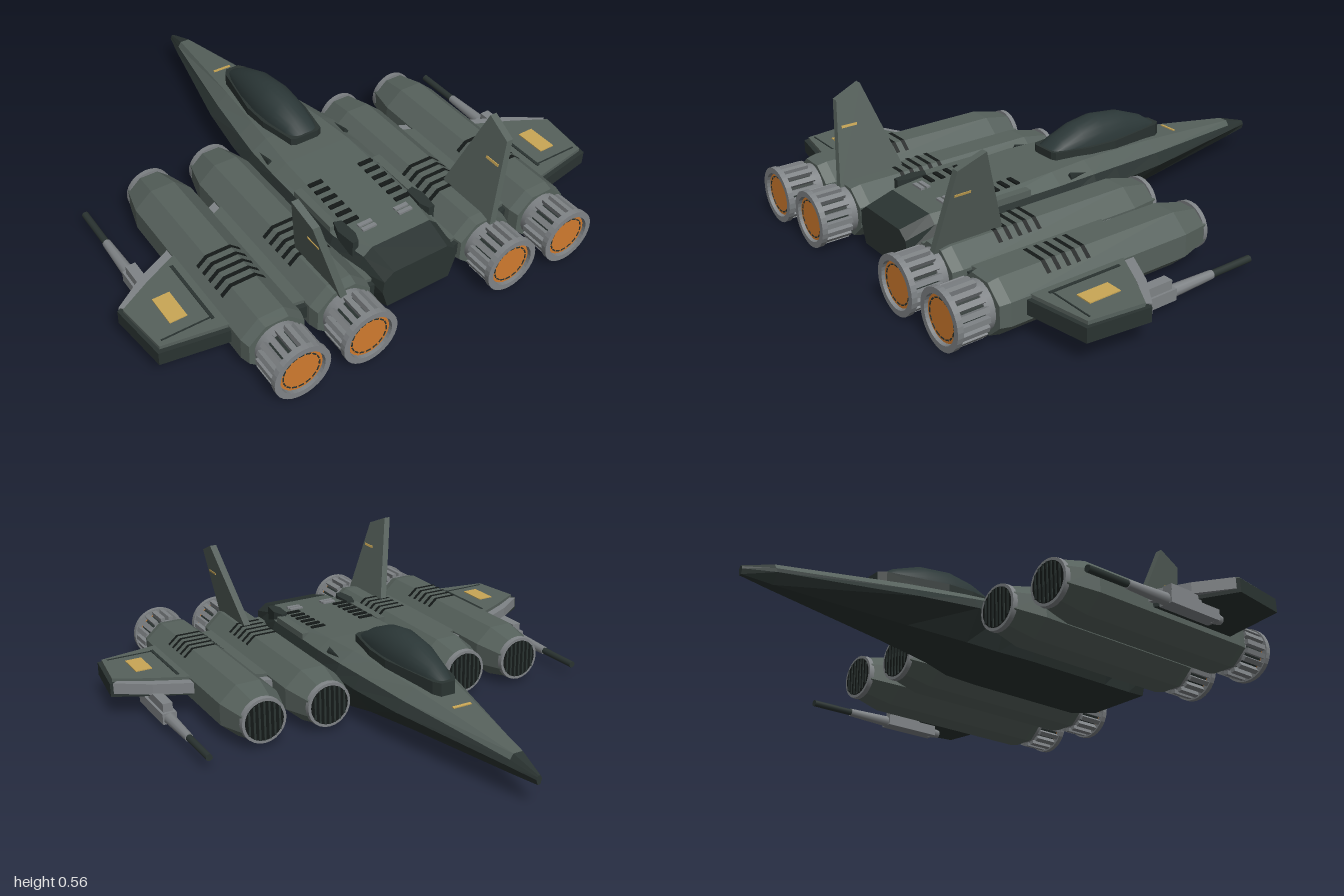
import * as THREE from 'three';

const mat = (name, color) => Object.assign(new THREE.MeshStandardMaterial({ color }), { name });

export function createModel() {
  const M = {
    hull: mat('hullGreen', 0x56615c),
    dark: mat('darkHull', 0x2a3331),
    black: mat('ventBlack', 0x141918),
    glass: mat('canopyGlass', 0x2b3737),
    grey: mat('metalGrey', 0x7f8386),
    orange: mat('exhaustOrange', 0xd07a2e),
    gold: mat('markingGold', 0xc9a655),
  };
  const root = new THREE.Group();
  root.name = 'starfighter';

  const add = (parent, name, geo, m, x = 0, y = 0, z = 0) => {
    const mesh = new THREE.Mesh(geo, m);
    mesh.name = name;
    mesh.position.set(x, y, z);
    parent.add(mesh);
    return mesh;
  };
  const flat = (geo) => {
    const g = geo.index ? geo.toNonIndexed() : geo;
    g.computeVertexNormals();
    return g;
  };
  const box = (parent, name, m, w, h, d, x, y, z) =>
    add(parent, name, new THREE.BoxGeometry(w, h, d), m, x, y, z);
  // cylinder along z; r0 is the radius at the rear (+z) end
  const tube = (parent, name, m, r0, r1, len, x, y, z, sides = 24, open = false) =>
    add(parent, name, new THREE.CylinderGeometry(r0, r1, len, sides, 1, open).rotateX(Math.PI / 2), m, x, y, z);
  // skin over cross-sections {z, pts}, ordered front to rear, points clockwise seen from the rear
  const loft = (sections, closed = false, smooth = false) => {
    const n = sections[0].pts.length, pos = [], idx = [];
    sections.forEach((s) => s.pts.forEach(([x, y]) => pos.push(x, y, s.z)));
    for (let i = 0; i < sections.length - 1; i++)
      for (let j = 0; j < (closed ? n : n - 1); j++) {
        const k = (j + 1) % n, a = i * n + j, b = i * n + k, c = b + n, d = a + n;
        idx.push(a, d, c, a, c, b);
      }
    const g = new THREE.BufferGeometry();
    g.setAttribute('position', new THREE.Float32BufferAttribute(pos, 3));
    g.setIndex(idx);
    if (smooth) { g.computeVertexNormals(); return g; }
    return flat(g);
  };
  // horizontal plate from an (x, z) outline
  const plate = (pts, y0, y1) => {
    const shape = new THREE.Shape(pts.map(([x, z]) => new THREE.Vector2(x, -z)));
    return new THREE.ExtrudeGeometry(shape, { depth: y1 - y0, bevelEnabled: false })
      .rotateX(-Math.PI / 2).translate(0, y0, 0);
  };

  // Fuselage stations: z, deck edge, shoulder, flank, keel edge
  const st = [
    [-1, .004, .125, .008, .12, .012, .11, .006, .09],
    [-.88, .02, .16, .034, .14, .046, .12, .02, .08],
    [-.35, .085, .222, .135, .18, .168, .14, .09, .05],
    [-.1, .115, .243, .175, .2, .207, .15, .13, .035],
    [.03, .13, .25, .195, .21, .22, .16, .16, .02],
    [.2, .145, .25, .2, .21, .22, .15, .17, .02],
    [.6, .15, .235, .2, .21, .22, .15, .17, .02],
    [.74, .13, .23, .165, .2, .19, .15, .17, .02],
    [.86, .12, .2, .16, .17, .165, .12, .14, .04],
  ];
  const upper = ([z, a, b, c, d]) => ({ z, pts: [[-c, d], [-a, b], [a, b], [c, d]] });
  const lower = ([z, , , c, d, e, f, g, h]) =>
    ({ z, pts: [[c, d], [e, f], [g, h], [-g, h], [-e, f], [-c, d]] });
  const full = (s) => ({ z: s[0], pts: [...upper(s).pts, ...lower(s).pts.slice(1, 5)] });
  const point = (z, y, n) => ({ z, pts: Array.from({ length: n }, () => [0, y]) });
  add(root, 'upperHull', loft(st.slice(1, 8).map(upper)), M.hull);
  add(root, 'lowerHull', loft(st.slice(1, 8).map(lower)), M.dark);
  add(root, 'noseTip', loft([point(-1, .11, 8), ...st.slice(0, 2).map(full)], true), M.dark);
  add(root, 'tailBlock', loft([...st.slice(7).map(full), point(.86, .12, 8)], true), M.dark);
  const stripe = box(root, 'noseStripe', M.gold, .08, .004, .012, 0, .2035, -.54);
  stripe.rotation.x = -.12;

  // Canopy frame and glass
  const frameHalf = [[.03, -.45], [.05, -.42], [.1, -.16], [.1, -.04], [.07, .12], [.05, .13]];
  const frame = [...frameHalf, ...frameHalf.map(([x, z]) => [-x, z]).reverse()];
  const frameGeo = plate(frame, -.045, .012);
  const fp = frameGeo.attributes.position;
  for (let i = 0; i < fp.count; i++) fp.setY(i, fp.getY(i) + .265 + .03 * fp.getZ(i));
  add(root, 'canopyFrame', flat(frameGeo), M.dark);
  const glass = [[-.44, .028, .005], [-.37, .053, .05], [-.25, .078, .093], [-.12, .09, .104],
    [-.02, .085, .085], [.07, .07, .045], [.12, .055, .01]];
  const dome = glass.map(([z, w, h]) => ({
    z,
    pts: Array.from({ length: 13 }, (_, k) => {
      const t = Math.PI * (1 - k / 12);
      return [w * Math.cos(t), .268 + .03 * z + h * Math.sin(t)];
    }),
  }));
  add(root, 'canopyGlass', loft(dome, false, true), M.glass);

  // Engine: nacelle, intake, top vents and nozzle
  const makeEngine = (x) => {
    const g = new THREE.Group();
    g.name = 'engine';
    g.position.set(x, .112, 0);
    root.add(g);
    const profile = [[.095, -.1], [.13, .03], [.13, .8], [.12, .84], [0, .84]]
      .map(([r, z]) => new THREE.Vector2(r, z));
    const body = new THREE.LatheGeometry(profile, 8, Math.PI / 8).rotateX(Math.PI / 2).scale(1, .89, 1);
    add(g, 'nacelle', flat(body), M.hull);
    tube(g, 'intakeRing', M.grey, .094, .092, .02, 0, 0, -.098);
    tube(g, 'intakeMouth', M.black, .08, .08, .006, 0, 0, -.107);
    for (let i = -3; i <= 3; i++)
      box(g, 'intakeSlat', M.dark, .008, 2 * Math.sqrt(.0062 - (i * .021) ** 2), .008, i * .021, 0, -.109);
    const ventPts = [[-.088, .078], [-.05, .111], [.05, .111], [.088, .078]];
    for (let i = 0; i < 5; i++) {
      const z = .445 + i * .042;
      add(g, 'nacelleVent', loft([{ z, pts: ventPts }, { z: z + .017, pts: ventPts }]), M.black);
    }
    tube(g, 'nozzleCollar', M.grey, .09, .09, .045, 0, 0, .855);
    tube(g, 'nozzleCore', M.dark, .084, .084, .12, 0, 0, .92);
    for (let i = 0; i < 18; i++) {
      const a = (i / 18) * Math.PI * 2;
      const slat = box(g, 'nozzleSlat', M.grey, .02, .022, .11, Math.cos(a) * .095, Math.sin(a) * .095, .925);
      slat.rotation.z = a + Math.PI / 2;
    }
    const rim = new THREE.Shape().absarc(0, 0, .112, 0, Math.PI * 2);
    rim.holes.push(new THREE.Path().absarc(0, 0, .089, 0, Math.PI * 2, true));
    add(g, 'nozzleRim', new THREE.ExtrudeGeometry(rim, { depth: .022, bevelEnabled: false, curveSegments: 16 }),
      M.grey, 0, 0, .978);
    tube(g, 'exhaustGlow', M.orange, .085, .085, .008, 0, 0, .984);
    for (let i = 0; i < 16; i++) {
      const a = (i / 16) * Math.PI * 2;
      const dash = box(g, 'exhaustMark', M.dark, .02, .005, .004, Math.cos(a) * .072, Math.sin(a) * .072, .988);
      dash.rotation.z = a + Math.PI / 2;
    }
  };
  [-.595, -.318, .318, .595].forEach(makeEngine);

  // Fin: upright plate leaning outward
  const finPlate = (pts, t, s) => {
    const shape = new THREE.Shape(pts.map(([z, y]) => new THREE.Vector2(z, y)));
    const g = new THREE.ExtrudeGeometry(shape, { depth: t, bevelEnabled: false })
      .translate(0, 0, -t / 2).rotateY(-Math.PI / 2);
    const p = g.attributes.position;
    for (let i = 0; i < p.count; i++) p.setX(i, p.getX(i) + s * (.335 + (p.getY(i) - .2) * .262));
    return flat(g);
  };

  for (const s of [1, -1]) {
    const side = new THREE.Group();
    side.name = s > 0 ? 'leftSide' : 'rightSide';
    root.add(side);
    const mx = (pts) => pts.map(([x, z]) => [s * x, z]);

    // Wing: dark core, lighter deck, metal leading edge, marking
    add(side, 'wingCore', plate(mx([[.18, .04], [.86, .375], [1, .45], [.97, .695], [.18, .83]]), .09, .146), M.dark);
    add(side, 'wingDeck', plate(mx([[.18, .07], [.85, .39], [.985, .465], [.957, .68], [.18, .81]]), .14, .16), M.hull);
    add(side, 'wingLeadingEdge', plate(mx([[.2, .03], [.86, .35], [.99, .44], [.97, .455], [.86, .39], [.2, .07]]),
      .105, .15), M.grey);
    box(side, 'wingMarking', M.gold, .068, .006, .13, s * .846, .161, .545);
    box(side, 'wingSeam', M.dark, .012, .004, .3, s * .745, .161, .52);
    box(side, 'flapSeam', M.dark, .2, .004, .005, s * .84, .161, .66);

    // Fin with a marking on both faces
    add(side, 'fin', finPlate([[.57, .19], [.695, .565], [.805, .52], [.86, .19]], .028, s), M.hull);
    add(side, 'finMarking', finPlate([[.74, .416], [.74, .425], [.805, .425], [.805, .416]], .034, s), M.gold);

    // Gun below the wing
    const gx = s * .845;
    box(side, 'gunMount', M.grey, .04, .06, .16, gx, .08, .315);
    box(side, 'gunBody', M.grey, .058, .045, .26, gx, .052, .35);
    tube(side, 'gunRear', M.grey, .018, .024, .05, gx, .05, .49, 10);
    tube(side, 'gunSleeve', M.grey, .024, .017, .2, gx, .05, .125, 10);
    tube(side, 'gunBarrel', M.dark, .014, .014, .2, gx, .05, -.065, 10);

    // Deck vents, fairings and small fittings
    for (let i = 0; i < 6; i++) {
      const z = .36 + i * .046;
      box(side, 'deckVent', M.black, .062, .012, .018, s * .116, .25 - (z - .2) * .0375, z);
    }
    box(side, 'sideFairing', M.hull, .035, .06, .24, s * .183, .205, .46);
    add(side, 'rearFairing', plate(mx([[.15, .58], [.18, .57], [.195, .62], [.185, .7], [.16, .7], [.145, .66]]),
      .18, .245), M.dark);
    for (const z of [.63, .655]) box(side, 'deckHatch', M.grey, .06, .012, .016, s * .082, .235, z);
    const blade = add(side, 'antenna', new THREE.ConeGeometry(.02, .08, 4).rotateX(-Math.PI / 2), M.dark, s * .18, .222, .1);
    blade.scale.x = .7;
  }
  return root;
}
